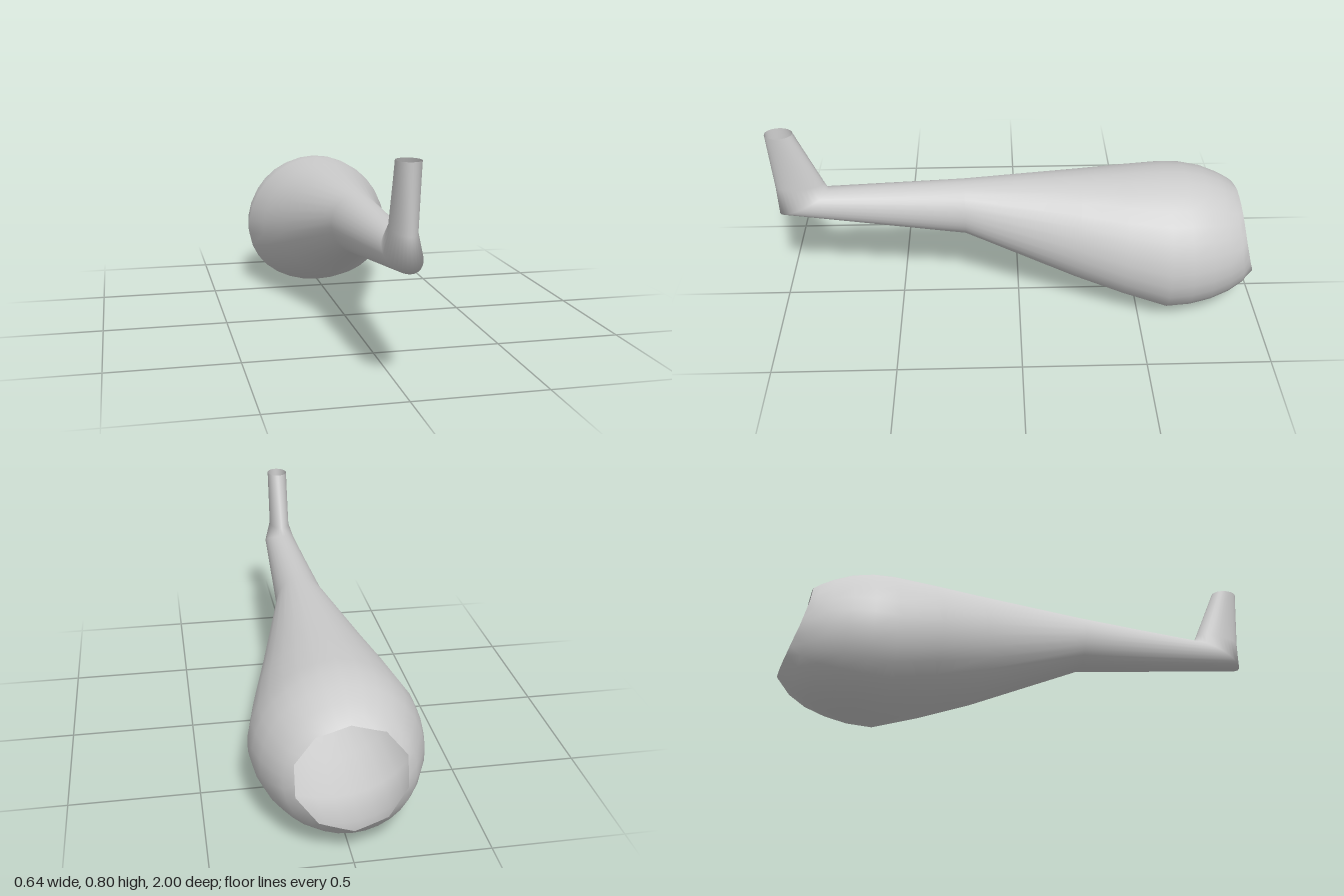
import * as THREE from 'three';

const SIDES = 30;
const RIM_SIDES = 10;

// Each ring: [upper z, upper y, lower z, lower y, half width, sag of the widest point]
const RINGS = [
  // upright mouthpiece, open at its tip
  [0.89, 0.805, 1.0, 0.805, 0.044, 0],
  [0.79, 0.575, 0.988, 0.56, 0.044, 0],
  // mitred elbow
  [0.775, 0.54, 0.985, 0.436, 0.068, 0],
  // tapering neck
  [0.22, 0.566, 0.22, 0.33, 0.103, 0],
  [-0.25, 0.583, -0.23, 0.132, 0.228, 0.01],
  [-0.43, 0.591, -0.43, 0.06, 0.283, 0.02],
  // bulbous bowl
  [-0.6, 0.597, -0.61, 0.004, 0.324, 0.025],
  [-0.68, 0.594, -0.71, 0.007, 0.317, 0.02],
  [-0.76, 0.578, -0.8, 0.024, 0.298, 0.015],
  [-0.83, 0.55, -0.88, 0.05, 0.265, 0.01],
  [-0.875, 0.525, -0.945, 0.09, 0.235, 0.005],
  // opening at the back
  [-0.905, 0.505, -1.0, 0.14, 0.208, 0],
];

// Lofts one continuous shell through the rings
function loftShell(rings) {
  const positions = [];
  const index = [];
  rings.forEach(([uz, uy, lz, ly, w, sag], r) => {
    const isRim = r === rings.length - 1;
    const step = (2 * Math.PI) / RIM_SIDES;
    for (let i = 0; i < SIDES; i++) {
      const a = (i / SIDES) * 2 * Math.PI;
      // the rim is cut as a coarse polygon
      const k = isRim ? Math.cos(step / 2) / Math.cos((a % step) - step / 2) : 1;
      const c = Math.cos(a) * k;
      const s = Math.sin(a) * k;
      const bow = isRim ? 0.018 * s * s : 0;
      positions.push(
        w * s,
        (uy + ly) / 2 + ((uy - ly) / 2) * c - sag * s * s,
        (uz + lz) / 2 + ((uz - lz) / 2) * c + bow
      );
      if (isRim) continue;
      const p = r * SIDES + i;
      const q = r * SIDES + ((i + 1) % SIDES);
      index.push(p, q, p + SIDES, q, q + SIDES, p + SIDES);
    }
  });
  const geometry = new THREE.BufferGeometry();
  geometry.setAttribute('position', new THREE.Float32BufferAttribute(positions, 3));
  geometry.setIndex(index);
  geometry.computeVertexNormals();
  return geometry;
}

export function createModel() {
  const model = new THREE.Group();
  model.name = 'hollowPipe';
  const material = new THREE.MeshStandardMaterial({ color: 0xcccccc, side: THREE.DoubleSide });

  // mouthpiece, neck and bowl in one thin shell
  const shell = new THREE.Mesh(loftShell(RINGS), material);
  shell.name = 'pipeShell';
  model.add(shell);
  return model;
}
